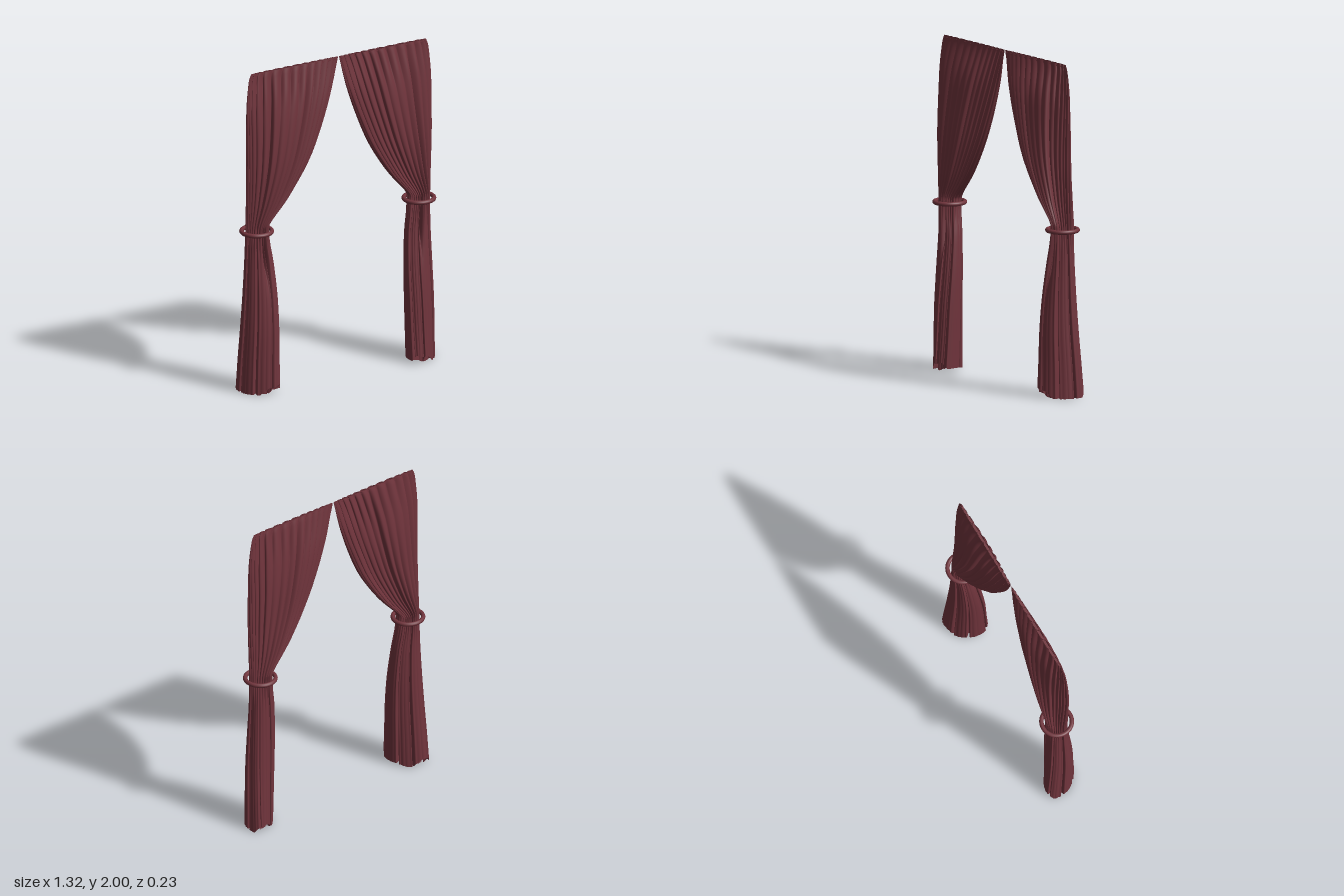
import * as THREE from 'three';

// Drape outline from hem to heading: [y, inner x, outer x, front z, back z]
const OUTLINE = [
  [0.005, 0.45, 0.66, 0.106, -0.1],
  [0.2, 0.447, 0.654, 0.102, -0.094],
  [0.4, 0.444, 0.645, 0.098, -0.086],
  [0.6, 0.445, 0.635, 0.083, -0.08],
  [0.8, 0.458, 0.626, 0.062, -0.076],
  [0.92, 0.476, 0.622, 0.054, -0.076],
  [1.01, 0.482, 0.62, 0.052, -0.077],
  [1.06, 0.468, 0.62, 0.057, -0.08],
  [1.2, 0.345, 0.622, 0.072, -0.082],
  [1.4, 0.213, 0.626, 0.081, -0.077],
  [1.6, 0.123, 0.628, 0.073, -0.071],
  [1.8, 0.053, 0.628, 0.052, -0.054],
  [1.95, 0.015, 0.615, 0.02, -0.026],
  [2.0, 0.003, 0.598, 0.009, -0.015],
];
const xCurve = new THREE.CatmullRomCurve3(
  OUTLINE.map(([y, a, b]) => new THREE.Vector3(a, y, b)), false, 'catmullrom', 0.5);
const zCurve = new THREE.CatmullRomCurve3(
  OUTLINE.map(([y, , , f, b]) => new THREE.Vector3(f, y, b)), false, 'catmullrom', 0.5);

const PLEATS = 28;
const AROUND = 448;
const { lerp, clamp, smoothstep } = THREE.MathUtils;

// Pleated cloth lofted through closed cross-sections; side is +1 or -1
function clothGeometry(side, scale, topT, rows) {
  const pos = [], index = [];
  for (let r = 0; r <= rows; r++) {
    const t = (r / rows) * topT;
    const xs = xCurve.getPoint(t), zs = zCurve.getPoint(t);
    const y = xs.y;
    const cx = (xs.x + xs.z) / 2, hx = (xs.z - xs.x) / 2;
    const cz = (zs.x + zs.z) / 2, hz = (zs.x - zs.z) / 2;
    const low = clamp(1 - y, 0, 1);
    const heading = smoothstep(y, 1.7, 2);
    // fine pleats at the heading merge into broad folds further down
    const merge = lerp(lerp(0.95, 0.6, smoothstep(y, 0.8, 1.15)), 0, heading);
    for (let i = 0; i < AROUND; i++) {
      const a = (i / AROUND) * Math.PI * 2;
      const c = Math.cos(a), s = Math.sin(a);
      const wave = (PLEATS / 2) * a + 0.8 * Math.sin(3 * a) + 0.4 * Math.sin(2 * a) * Math.sin(3 * y);
      const broad = Math.max(0, Math.cos(wave / 2 - Math.PI / 4)) ** 2;
      const crease = Math.pow(1 - Math.abs(Math.cos(wave)), 1.2) * lerp(1, broad, merge);
      const depth = hz * lerp(0.42 + 0.14 * Math.sin(5 * a + 1.3 + y), 0.85, heading);
      // one deep pocket opening below the tie
      const pocket = 0.04 * Math.exp(-(((a - 1.75) / 0.16) ** 2)) * Math.exp(-(((y - 0.87) / 0.14) ** 2));
      const inset = crease * depth + pocket;
      const x = cx + scale * (hx * c - inset * c);
      const z = cz + scale * (hz * Math.sign(s) * Math.pow(Math.abs(s), 0.8) - inset * s - 0.05 * low * c);
      // hem rises where the cloth flares out
      const hem = Math.max(0, 1 - y / 0.3) * (0.045 * smoothstep(Math.abs(z), 0.08, 0.115)
        + 0.02 * smoothstep(-c, 0.3, 1));
      pos.push(side * x, y + hem, z);
      if (r < rows) {
        const p = r * AROUND + i, q = r * AROUND + (i + 1) % AROUND;
        const u = p + AROUND, v = q + AROUND;
        if (side > 0) index.push(p, u, q, q, u, v);
        else index.push(p, q, u, q, v, u);
      }
    }
  }
  const g = new THREE.BufferGeometry();
  g.setAttribute('position', new THREE.Float32BufferAttribute(pos, 3));
  g.setIndex(index);
  g.computeVertexNormals();
  return g;
}

export function createModel() {
  const model = new THREE.Group();
  model.name = 'curtains';
  const cloth = new THREE.MeshStandardMaterial({ color: 0x70343c, side: THREE.DoubleSide });
  cloth.name = 'wine red cloth';

  for (const side of [1, -1]) {
    const curtain = new THREE.Group();
    curtain.name = side > 0 ? 'leftCurtain' : 'rightCurtain';
    const add = (name, geometry) => {
      const mesh = new THREE.Mesh(geometry, cloth);
      mesh.name = name;
      curtain.add(mesh);
      return mesh;
    };

    add('drape', clothGeometry(side, 1, 1, 48));
    // gathered layers inside the hem
    add('innerFolds', clothGeometry(side, 0.66, 0.45, 10));
    add('coreFolds', clothGeometry(side, 0.3, 0.45, 10));

    // flat seam closing the heading
    const seam = add('headingSeam', new THREE.BoxGeometry(0.57, 0.006, 0.014));
    seam.position.set(side * 0.302, 1.988, -0.003);

    // tie ring
    const ring = add('tieRing', new THREE.TorusGeometry(0.09, 0.013, 12, 48));
    ring.rotation.x = Math.PI / 2;
    ring.position.set(side * 0.555, 1.004, -0.012);
    model.add(curtain);
  }
  return model;
}
